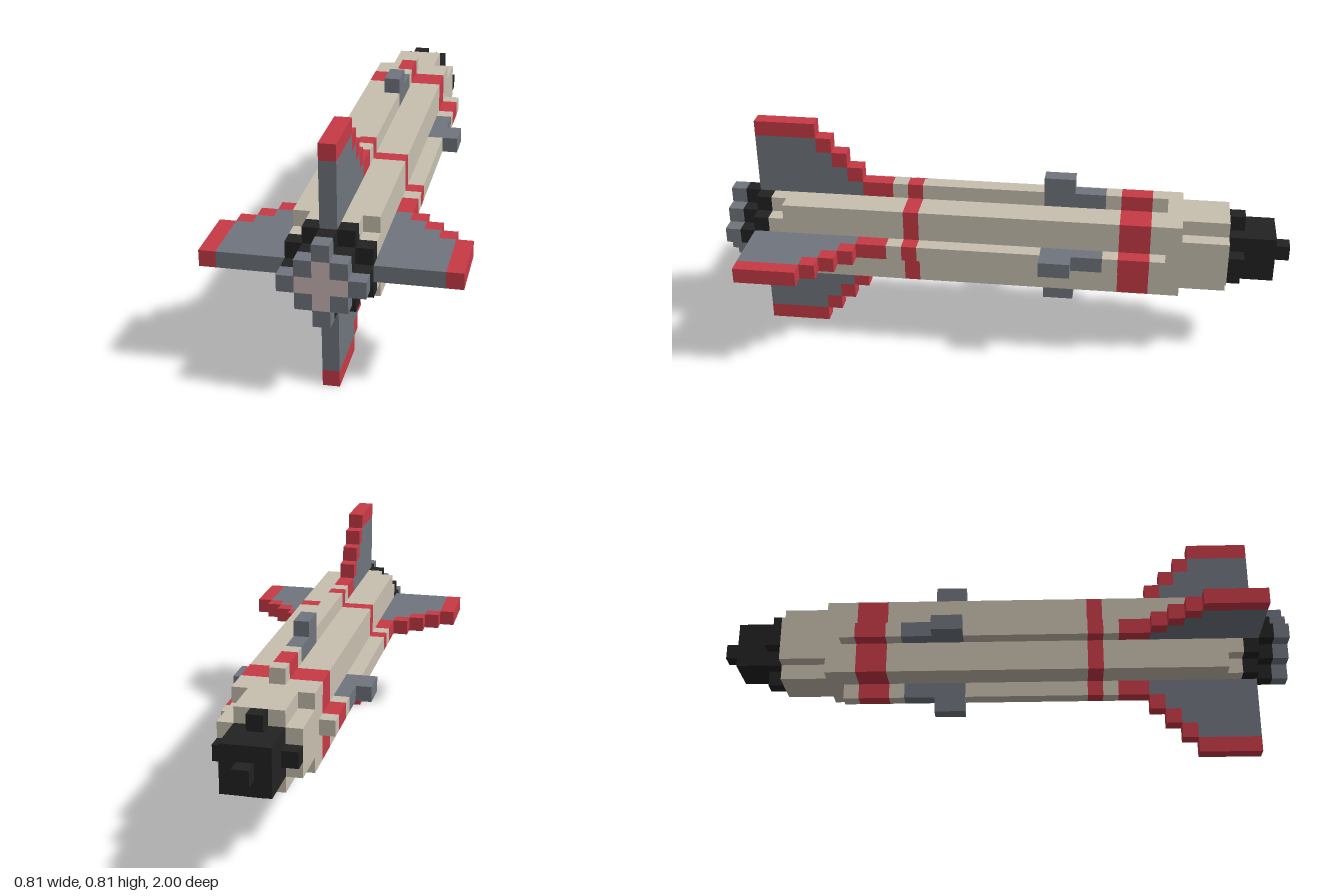
import * as THREE from 'three';

const U = 2 / 37; // one block; the rocket is 37 blocks long and 15 tall

const mat = (name, color) => {
  const m = new THREE.MeshStandardMaterial({ color });
  m.name = name;
  return m;
};

export function createModel() {
  const cream = mat('cream', 0xc8c0b0);
  const red = mat('red', 0xc83a46);
  const grey = mat('grey', 0x70767e);
  const black = mat('black', 0x222222);
  const pink = mat('pale pink', 0xc9b6b8);

  const rocket = new THREE.Group();
  rocket.name = 'rocket';

  // Box in blocks: w x h centred on (x, y), running from k0 to k1 measured from the tail
  const box = (parent, name, material, w, h, k0, k1, x = 0, y = 0) => {
    const mesh = new THREE.Mesh(new THREE.BoxGeometry(w * U, h * U, (k1 - k0) * U), material);
    mesh.position.set(x * U, y * U, 1 - ((k0 + k1) / 2) * U);
    mesh.name = name;
    parent.add(mesh);
  };

  // 5x5 section with its corner blocks missing
  const rounded = (name, material, k0, k1) => {
    box(rocket, name, material, 5, 3, k0, k1);
    for (const s of [-1, 1]) box(rocket, name, material, 3, 1, k0, k1, 0, 2 * s);
  };

  // Fuselage with two red bands
  rounded('tailEnd', cream, 3, 4);
  box(rocket, 'rearFuselage', cream, 5, 5, 4, 12);
  box(rocket, 'rearBand', red, 5, 5, 12, 13);
  box(rocket, 'midFuselage', cream, 5, 5, 13, 26);
  box(rocket, 'frontBand', red, 5, 5, 26, 28);
  box(rocket, 'frontFuselage', cream, 5, 5, 28, 30);
  rounded('shoulder', cream, 30, 33);

  // Nose
  box(rocket, 'noseBlock', black, 3, 3, 33, 36);
  box(rocket, 'noseTip', black, 1, 1, 36, 37);

  // Engine: dark collar, glowing cross and ring of nozzle blocks
  rounded('engineCollar', black, 2, 3);
  box(rocket, 'engineNeck', black, 3, 3, 1, 2);
  box(rocket, 'exhaust', pink, 3, 1, 0, 1);
  for (const s of [-1, 1]) {
    box(rocket, 'exhaust', pink, 1, 1, 0, 1, 0, s);
    for (const t of [-1, 1]) box(rocket, 'nozzleRing', grey, 1, 1, 0, 1, s, t);
  }

  // Four identical sides: spine, guide fin, tail fin
  for (let i = 0; i < 4; i++) {
    const side = new THREE.Group();
    side.name = 'side' + (i + 1);
    side.rotation.z = (i * Math.PI) / 2;
    rocket.add(side);

    const row = (name, material, y, k0, k1) => box(side, name, material, 1, 1, k0, k1, 0, y);
    row('nozzleRing', grey, 2, 0, 1);
    row('engineNeck', black, 2, 1, 2);
    row('noseStud', black, 2, 33, 34);

    // Spine along the fuselage
    row('spine', cream, 3, 11, 12);
    row('spineRearBand', red, 3, 12, 13);
    row('spine', cream, 3, 13, 21);
    row('guideFinBase', grey, 3, 21, 25);
    row('guideFin', grey, 4, 21, 23);
    row('spine', cream, 3, 25, 26);
    row('spineFrontBand', red, 3, 26, 28);
    row('spine', cream, 3, 28, 29);

    // Stepped tail fin with red leading edge and tip
    const ends = [9, 8, 7, 6];
    ends.forEach((k, n) => {
      row('tailFin', grey, 3 + n, 2, k);
      row('tailFinEdge', red, 3 + n, k, n === 0 ? 11 : k + 1);
    });
    row('tailFinTip', red, 7, 2, 6);
  }

  rocket.position.y = 7.5 * U;
  const model = new THREE.Group();
  model.name = 'blockRocket';
  model.add(rocket);
  return model;
}
